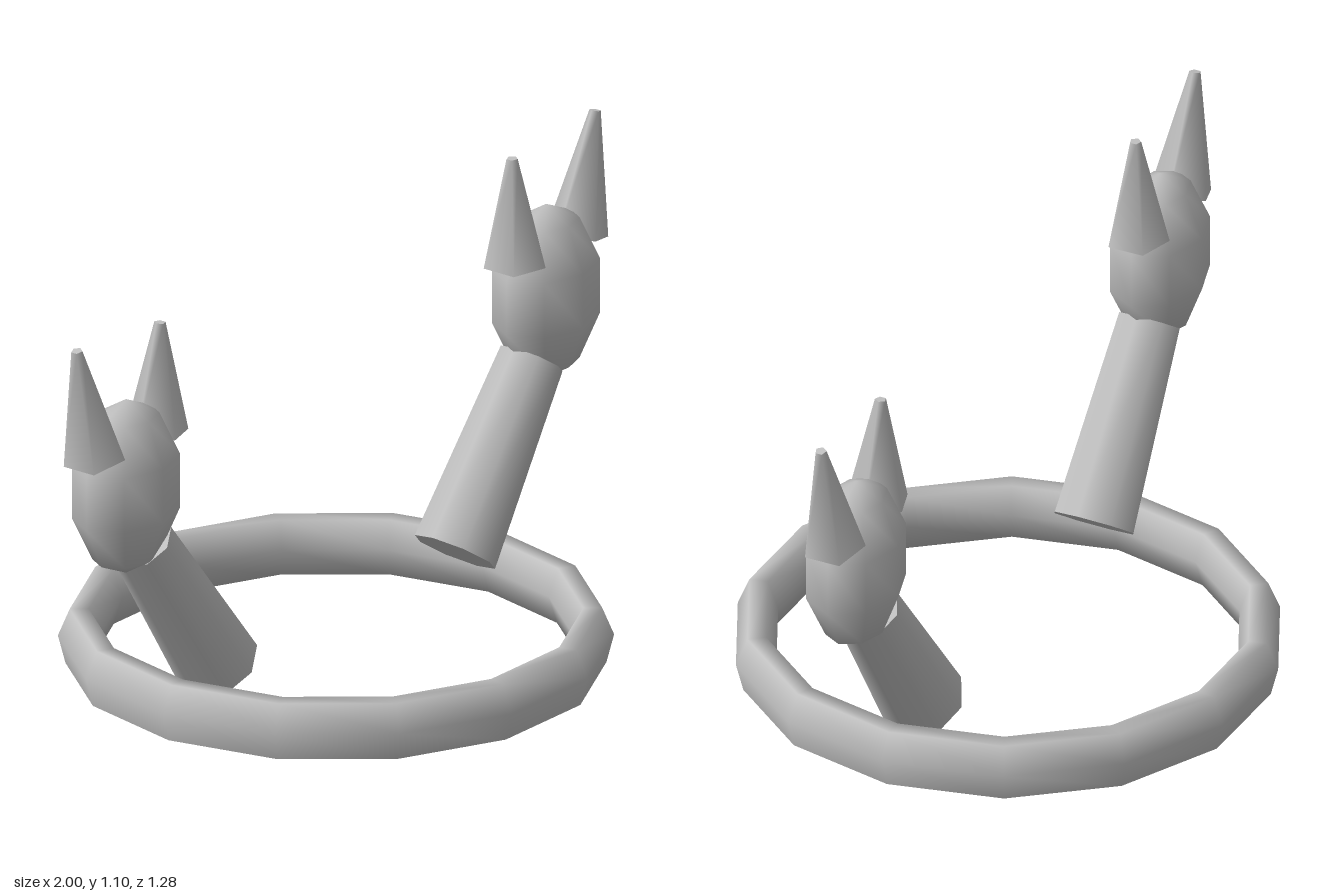
import * as THREE from 'three';

const grey = new THREE.MeshStandardMaterial({ color: 0xc0c0c0 });
grey.name = 'plain grey';

function part(name, geometry) {
  const mesh = new THREE.Mesh(geometry, grey);
  mesh.name = name;
  return mesh;
}

// Tapered prism between two points in the xy plane.
function taper(name, from, to, rBottom, rTop, sides, thetaStart = 0) {
  const a = new THREE.Vector3(...from, 0);
  const b = new THREE.Vector3(...to, 0);
  const dir = b.clone().sub(a);
  const mesh = part(name, new THREE.CylinderGeometry(rTop, rBottom, dir.length(), sides, 1, false, thetaStart));
  mesh.position.copy(a).add(b).multiplyScalar(0.5);
  mesh.quaternion.setFromUnitVectors(new THREE.Vector3(0, 1, 0), dir.normalize());
  return mesh;
}

// One arm with its head and two horns, on the +x side.
function createArm(name) {
  const group = new THREE.Group();
  group.name = name;

  group.add(taper('arm', [0.453, 0.14], [0.745, 0.54], 0.104, 0.08, 8));

  const head = part('head', new THREE.SphereGeometry(1, 8, 5));
  head.scale.set(0.158, 0.22, 0.117);
  head.position.set(0.8, 0.695, 0);
  group.add(head);

  // Five-sided horns, each with a flat side turned away from the head
  group.add(taper('outerHorn', [0.919, 0.802], [0.987, 1.095], 0.077, 0.014, 5, -Math.PI / 2));
  group.add(taper('innerHorn', [0.682, 0.798], [0.671, 1.07], 0.077, 0.014, 5, Math.PI / 2));
  return group;
}

export function createModel() {
  const model = new THREE.Group();
  model.name = 'ringWithHornedArms';

  // Base ring: six-sided section turned in fourteen steps
  const section = [
    [0.638, 0], [0.656, 0.07], [0.628, 0.137], [0.583, 0.137],
    [0.558, 0.07], [0.58, 0], [0.638, 0],
  ].map(([r, y]) => new THREE.Vector2(r, y));
  model.add(part('ring', new THREE.LatheGeometry(section, 14, Math.PI / 2)));

  // The right arm is the left one turned half way round
  const right = createArm('rightArm');
  right.rotation.y = Math.PI;
  model.add(createArm('leftArm'), right);

  return model;
}
